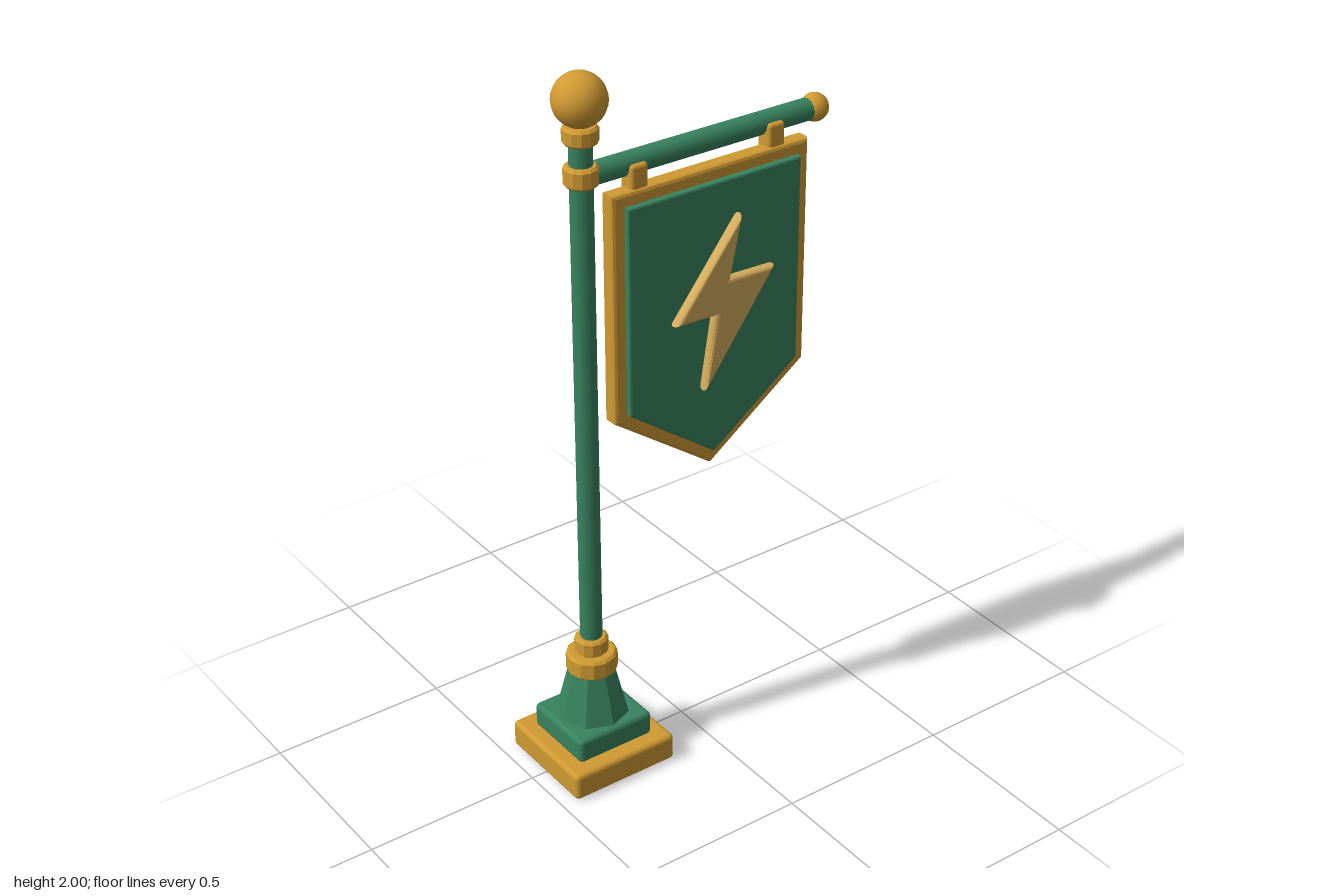
import * as THREE from 'three';
import { RoundedBoxGeometry } from 'three/addons/geometries/RoundedBoxGeometry.js';

const material = (color, flatShading = false) => new THREE.MeshStandardMaterial({ color, flatShading });
const gold = material(0xd09a32);
const goldFlat = material(0xd09a32, true);
const green = material(0x38835f);
const greenFlat = material(0x38835f, true);
const paleGold = material(0xd4ab5c, true);

const POLE_X = -0.298;
const ARM_Y = 1.73;

export function createModel() {
  const group = new THREE.Group();

  function add(name, geometry, mat, x = 0, y = 0, z = 0) {
    const mesh = new THREE.Mesh(geometry, mat);
    mesh.name = name;
    mesh.position.set(x, y, z);
    group.add(mesh);
    return mesh;
  }

  // Box between two heights with softened edges
  function block(name, w, d, y0, y1, mat) {
    add(name, new RoundedBoxGeometry(w, y1 - y0, d, 2, 0.014), mat, POLE_X, (y0 + y1) / 2, 0);
  }

  // Faceted ring around the pole with chamfered rims
  function collar(name, r, y0, y1) {
    const c = 0.007;
    const profile = [[0, y0], [r - c, y0], [r, y0 + c], [r, y1 - c], [r - c, y1], [0, y1]]
      .map(([x, y]) => new THREE.Vector2(x, y));
    add(name, new THREE.LatheGeometry(profile, 12), goldFlat, POLE_X);
  }

  // Extruded outline whose bevel stays inside the given points and depth
  function plate(name, points, z0, z1, bevelSize, bevelThickness, bevelSegments, mat) {
    const shape = new THREE.Shape(points.map(([x, y]) => new THREE.Vector2(x, y)));
    const geometry = new THREE.ExtrudeGeometry(shape, {
      depth: z1 - z0 - 2 * bevelThickness,
      bevelEnabled: true,
      bevelSize,
      bevelThickness,
      bevelSegments,
      bevelOffset: -bevelSize,
    });
    add(name, geometry, mat, 0, 0, z0 + bevelThickness);
  }

  // Stepped foot
  block('basePlinth', 0.322, 0.314, 0, 0.08, gold);
  block('baseStep', 0.234, 0.224, 0.075, 0.148, green);
  add('baseTaper', new THREE.CylinderGeometry(0.064, 0.1, 0.145, 8), greenFlat, POLE_X, 0.215, 0);
  collar('lowerCollar', 0.07, 0.283, 0.342);
  collar('poleCollar', 0.046, 0.34, 0.39);

  // Pole and finial
  add('pole', new THREE.CylinderGeometry(0.03, 0.03, 1.5, 12), green, POLE_X, 1.1, 0);
  collar('armCollar', 0.045, 1.708, 1.762);
  collar('finialCollar', 0.046, 1.818, 1.865);
  add('finial', new THREE.SphereGeometry(0.07, 20, 14), gold, POLE_X, 1.93, 0);

  // Cross arm
  const armEnd = 0.42;
  const arm = add('arm', new THREE.CylinderGeometry(0.03, 0.03, armEnd - POLE_X, 12), green,
    (armEnd + POLE_X) / 2, ARM_Y, 0);
  arm.rotation.z = Math.PI / 2;
  add('armKnob', new THREE.SphereGeometry(0.038, 16, 12), gold, armEnd, ARM_Y, 0);

  // Straps holding the banner
  for (const x of [-0.152, 0.27]) {
    add('strap', new RoundedBoxGeometry(0.052, 0.085, 0.05, 2, 0.01), gold, x, 1.695, 0.015);
  }

  // Pointed banner outline: half width, top, shoulder and tip heights
  const pennant = (half, top, shoulder, tip) => {
    const cx = 0.062;
    return [[cx - half, top], [cx - half, shoulder], [cx, tip], [cx + half, shoulder], [cx + half, top]];
  };
  plate('bannerFrame', pennant(0.304, 1.676, 1.04, 0.82), 0, 0.047, 0.01, 0.01, 2, goldFlat);
  plate('bannerPanel', pennant(0.268, 1.64, 1.06, 0.864), 0.03, 0.064, 0.006, 0.006, 2, greenFlat);

  // Bolt emblem floating just ahead of the panel
  const bolt = [[0.115, 1.553], [0.083, 1.385], [0.223, 1.38], [0.003, 1.08], [0.033, 1.289], [-0.09, 1.294]];
  plate('boltEmblem', bolt, 0.072, 0.104, 0.013, 0.014, 3, paleGold);

  return group;
}
